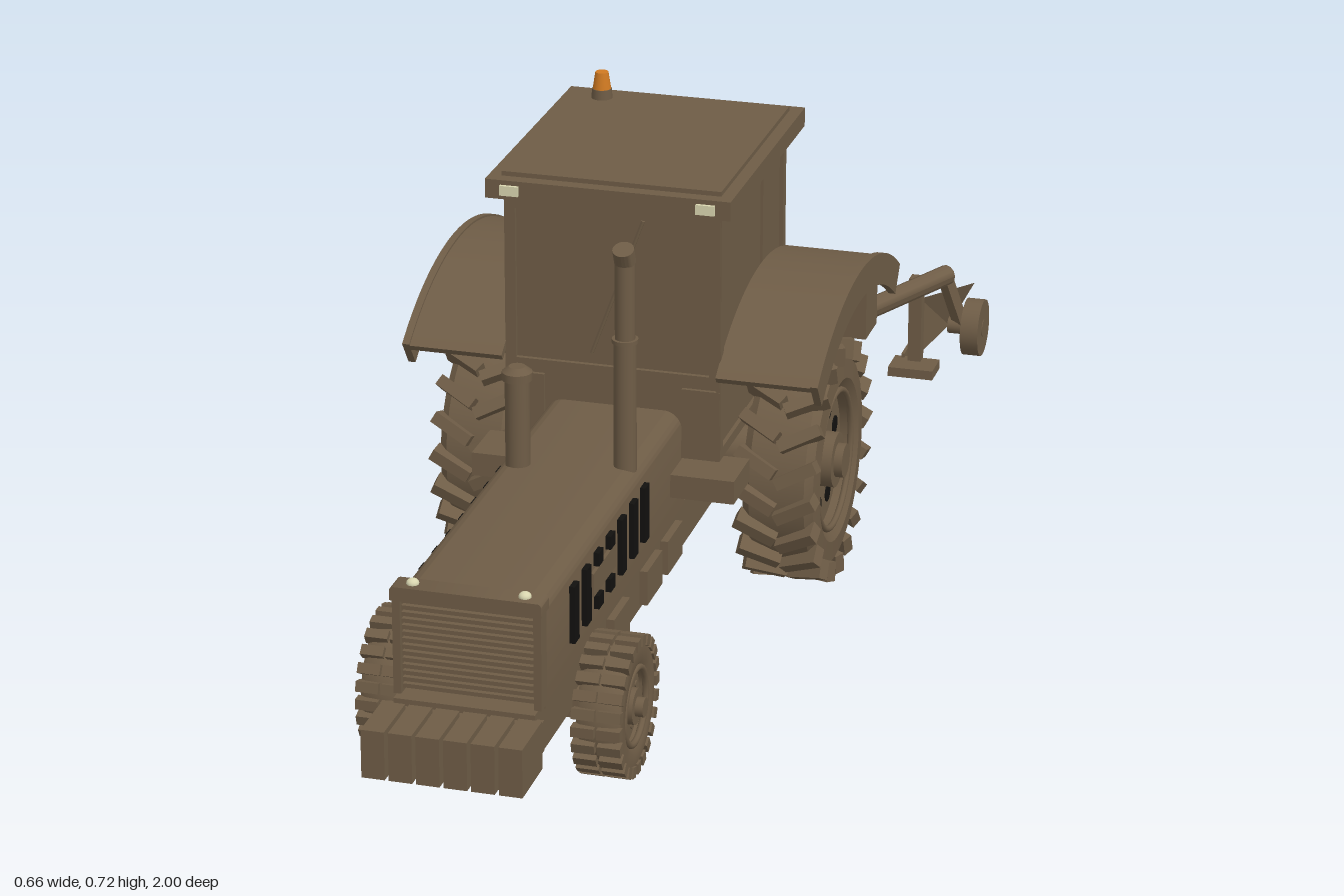
import * as THREE from 'three';
import { toCreasedNormals } from 'three/addons/utils/BufferGeometryUtils.js';

const flat = (name, color, extra = {}) => Object.assign(new THREE.MeshStandardMaterial({ color, ...extra }), { name });

export function createModel() {
  const brown = flat('brown paint', 0x6e5c46);
  const sheet = flat('brown sheet metal', 0x6e5c46, { side: THREE.DoubleSide });
  const black = flat('black', 0x12110f);
  const orange = flat('beacon orange', 0xd07a22);
  const pale = flat('lamp glass', 0xd9d6b0);

  const root = new THREE.Group();
  root.name = 'tractorWithPlough';
  const tractor = new THREE.Group();
  tractor.name = 'tractor';
  tractor.position.x = 0.01;
  const plough = new THREE.Group();
  plough.name = 'plough';
  root.add(tractor, plough);

  const V = (a) => new THREE.Vector3(...a);
  function add(parent, name, geo, mat = brown, pos = [0, 0, 0]) {
    const m = new THREE.Mesh(geo, mat);
    m.name = name;
    m.position.set(...pos);
    parent.add(m);
    return m;
  }
  // box given by its x, y and z ranges
  const box = (parent, name, [x0, x1], [y0, y1], [z0, z1], mat) =>
    add(parent, name, new THREE.BoxGeometry(Math.abs(x1 - x0), y1 - y0, Math.abs(z1 - z0)), mat,
      [(x0 + x1) / 2, (y0 + y1) / 2, (z0 + z1) / 2]);
  // round or square bar between two points
  function bar(parent, name, a, b, r, sides = 12, mat = brown) {
    const p = V(a), q = V(b);
    const m = add(parent, name, toCreasedNormals(new THREE.CylinderGeometry(r, r, p.distanceTo(q), sides), 0.9), mat);
    m.position.copy(p).lerp(q, 0.5);
    m.quaternion.setFromUnitVectors(new THREE.Vector3(0, 1, 0), q.sub(p).normalize());
    return m;
  }
  const cyl = (parent, name, r0, r1, h, pos, mat = brown) =>
    add(parent, name, new THREE.CylinderGeometry(r1, r0, h, 20), mat, pos);
  // disc or drum lying along x
  const drum = (parent, name, r, w, pos, mat = brown) =>
    add(parent, name, new THREE.CylinderGeometry(r, r, w, 32).rotateZ(Math.PI / 2), mat, pos);
  // flat rectangular frame facing +z
  function frameGeo(w, h, t, d) {
    const rect = (C, a, b) => new C([[-a, -b], [a, -b], [a, b], [-a, b]].map((p) => new THREE.Vector2(...p)));
    const s = rect(THREE.Shape, w / 2, h / 2);
    s.holes.push(rect(THREE.Path, w / 2 - t, h / 2 - t));
    return new THREE.ExtrudeGeometry(s, { depth: d, bevelEnabled: false });
  }

  // ---- bonnet, grille and chassis
  function hoodGeo(w, y0, y1, r, depth) {
    const s = new THREE.Shape();
    s.moveTo(-w, y0); s.lineTo(w, y0); s.lineTo(w, y1 - r);
    s.absarc(w - r, y1 - r, r, 0, Math.PI / 2);
    s.absarc(-w + r, y1 - r, r, Math.PI / 2, Math.PI);
    return toCreasedNormals(new THREE.ExtrudeGeometry(s, { depth, bevelEnabled: false }), 0.7);
  }
  add(tractor, 'bonnet', hoodGeo(0.104, 0.17, 0.328, 0.028, 0.7), brown, [0, 0, 0.165]);
  add(tractor, 'grilleSurround', hoodGeo(0.107, 0.315, 0.335, 0.006, 0.035), brown, [0, 0, 0.855]);
  for (const s of [-1, 1]) {
    box(tractor, 'grillePost', [s * 0.094, s * 0.105], [0.175, 0.316], [0.86, 0.885]);
    const lamp = add(tractor, 'bonnetLamp', new THREE.SphereGeometry(0.009, 14, 10), pale, [s * 0.079, 0.336, 0.872]);
    lamp.scale.y = 0.8;
    for (let i = 0; i < 7; i++) {
      const z = 0.74 - i * 0.0585, cut = i === 2 || i === 3;
      box(tractor, 'sideVent', [s * 0.1, s * 0.112], [0.215, cut ? 0.235 : 0.3], [z - 0.011, z + 0.011], black);
      if (cut) box(tractor, 'sideVent', [s * 0.1, s * 0.112], [0.28, 0.3], [z - 0.011, z + 0.011], black);
    }
    box(tractor, 'sidePlate', [s * 0.1, s * 0.109], [0.24, 0.275], [0.54, 0.65]);
    for (const z of [0.35, 0.52, 0.24]) box(tractor, 'chassisBox', [s * 0.09, s * 0.112], [0.112, 0.165], [z - 0.04, z + 0.04]);
    box(tractor, 'cabStep', [s * 0.1, s * 0.2], [0.218, 0.254], [0.15, 0.24]);
  }
  for (let i = 0; i < 14; i++) box(tractor, 'grilleSlat', [-0.094, 0.094], [0.181 + i * 0.0097, 0.187 + i * 0.0097], [0.86, 0.877]);
  box(tractor, 'chassis', [-0.1, 0.1], [0.105, 0.175], [-0.2, 0.9]);
  box(tractor, 'transmission', [-0.09, 0.09], [0.13, 0.27], [-0.22, 0.18]);
  box(tractor, 'weightCarrier', [-0.11, 0.11], [0.12, 0.165], [0.89, 0.93]);
  for (let i = 0; i < 6; i++) {
    const x = -0.0965 + i * 0.0386;
    box(tractor, 'frontWeight', [x - 0.0165, x + 0.0165], [0.102, 0.173], [0.91, 1]);
  }

  // ---- air intake and exhaust
  cyl(tractor, 'airIntake', 0.018, 0.018, 0.14, [-0.07, 0.39, 0.425]);
  cyl(tractor, 'airIntakeCap', 0.022, 0.022, 0.012, [-0.07, 0.464, 0.425]);
  cyl(tractor, 'airIntakeCrown', 0.022, 0.012, 0.008, [-0.07, 0.474, 0.425]);
  cyl(tractor, 'exhaustLower', 0.0165, 0.0165, 0.2, [0.079, 0.42, 0.39]);
  cyl(tractor, 'exhaustCollar', 0.019, 0.019, 0.006, [0.079, 0.52, 0.39]);
  cyl(tractor, 'exhaustPipe', 0.0145, 0.0145, 0.13, [0.079, 0.583, 0.39]);
  bar(tractor, 'exhaustTip', [0.079, 0.638, 0.389], [0.079, 0.66, 0.399], 0.0155, 20);

  // ---- cab
  box(tractor, 'cabBody', [-0.158, 0.158], [0.26, 0.645], [-0.188, 0.178]);
  for (const s of [-1, 1]) {
    const front = s > 0;
    const w = add(tractor, front ? 'windscreenFrame' : 'rearWindowFrame', frameGeo(0.326, front ? 0.265 : 0.38, 0.016, 0.008), brown,
      [0, front ? 0.507 : 0.45, front ? 0.177 : -0.187]);
    if (!front) w.rotation.y = Math.PI;
    const d = add(tractor, 'doorFrame', frameGeo(0.376, 0.38, 0.016, 0.007), brown, [s * 0.157, 0.45, -0.005]);
    d.rotation.y = s * Math.PI / 2;
    box(tractor, 'doorPillar', [s * 0.157, s * 0.162], [0.27, 0.635], [-0.075, -0.063]);
    box(tractor, 'lowerCabPanel', [s * 0.105, s * 0.163], [0.258, 0.367], [0.17, 0.184]);
    box(tractor, 'roofLamp', [s * 0.133, s * 0.161], [0.652, 0.667], [0.2, 0.215], pale);
    box(tractor, 'rearRoofLamp', [s * 0.133, s * 0.161], [0.652, 0.667], [-0.228, -0.22], pale);
  }
  box(tractor, 'rearSill', [-0.155, 0.155], [0.385, 0.395], [-0.194, -0.186]);
  bar(tractor, 'wiper', [0.047, 0.623, 0.185], [-0.031, 0.41, 0.185], 0.003, 6);
  bar(tractor, 'grabRail', [-0.168, 0.4, 0.15], [-0.168, 0.61, 0.15], 0.004, 8);
  box(tractor, 'roof', [-0.184, 0.184], [0.645, 0.674], [-0.225, 0.21]);
  box(tractor, 'roofPanel', [-0.165, 0.165], [0.674, 0.681], [-0.205, 0.19]);
  cyl(tractor, 'beaconBase', 0.016, 0.015, 0.016, [-0.118, 0.688, -0.167]);
  cyl(tractor, 'beacon', 0.014, 0.01, 0.026, [-0.118, 0.709, -0.167], orange);

  // ---- mudguards
  function arcGeo(r0, r1, width) {
    const a = 0.947, s = new THREE.Shape();
    s.absarc(0, 0, r1, a, Math.PI - a, false);
    s.absarc(0, 0, r0, Math.PI - a, a, true);
    const g = new THREE.ExtrudeGeometry(s, { depth: width, bevelEnabled: false, curveSegments: 20 });
    return toCreasedNormals(g.rotateY(-Math.PI / 2).translate(width / 2, 0, 0), 0.5);
  }
  for (const s of [-1, 1]) {
    add(tractor, 'mudguard', arcGeo(0.436, 0.447, 0.145), brown, [s * 0.235, 0.037, -0.053]);
    add(tractor, 'mudguardLip', arcGeo(0.402, 0.45, 0.011), brown, [s * 0.31, 0.037, -0.053]);
    box(tractor, 'rearLampBox', [s * 0.172, s * 0.28], [0.3, 0.4], [-0.318, -0.245]);
  }

  // ---- wheels
  function tyre(parent, R, ri, h) {
    const pts = [[ri, h * 0.8], [ri, -h * 0.8], [ri + (R - ri) * 0.3, -h], [R - (R - ri) * 0.2, -h * 0.96], [R - 0.003, -h * 0.75],
      [R, 0], [R - 0.003, h * 0.75], [R - (R - ri) * 0.2, h * 0.96], [ri + (R - ri) * 0.3, h], [ri, h * 0.8]];
    const g = new THREE.LatheGeometry(pts.map((p) => new THREE.Vector2(...p)), 40).rotateZ(Math.PI / 2);
    add(parent, 'tyre', toCreasedNormals(g, 0.6), brown);
  }
  function wheel(name, x, y, z, big) {
    const w = new THREE.Group();
    w.name = name;
    w.position.set(x, y, z);
    tractor.add(w);
    const s = Math.sign(x), R = big ? 0.168 : 0.093, ri = big ? 0.106 : 0.055, h = big ? 0.056 : 0.033;
    tyre(w, R, ri, h);
    drum(w, 'rim', ri + 0.002, h * 1.1, [0, 0, 0]);
    drum(w, 'hub', big ? 0.042 : 0.026, h * 1.9, [0, 0, 0]);
    drum(w, 'hubCap', big ? 0.026 : 0.014, 0.02, [s * h, 0, 0]);
    add(w, 'rimEdge', new THREE.TorusGeometry(ri, 0.005, 8, 36).rotateY(Math.PI / 2), brown, [s * h * 0.85, 0, 0]);
    // holes round the rim
    for (let i = 0; i < 8; i++) {
      const a = (i + 0.5) * Math.PI / 4, r = big ? 0.073 : 0.041;
      drum(w, 'rimHole', big ? 0.014 : 0.005, h * 1.1 + 0.004, [0, r * Math.sin(a), r * Math.cos(a)], big ? black : brown);
    }
    // tread: chevrons at the rear, split bars at the front
    const n = big ? 20 : 24;
    for (let i = 0; i < n; i++) for (const side of [-1, 1]) {
      const lugs = new THREE.Group();
      lugs.name = 'treadLug';
      lugs.rotation.x = (i + (big && side > 0 ? 0.25 : 0)) * Math.PI * 2 / n;
      w.add(lugs);
      const g = big ? new THREE.BoxGeometry(0.066, 0.03, 0.018) : new THREE.BoxGeometry(0.033, 0.016, 0.015);
      const m = add(lugs, 'lug', g, brown, [side * (big ? 0.031 : 0.0185), big ? 0.169 : 0.093, 0]);
      if (big) m.rotation.y = side * 0.5;
    }
  }
  for (const s of [-1, 1]) {
    wheel('rearWheel', s * 0.235, 0.186, -0.037, true);
    wheel('frontWheel', s * 0.155, 0.108, 0.703, false);
  }
  drum(tractor, 'rearAxle', 0.04, 0.42, [0, 0.186, -0.037]);
  box(tractor, 'frontAxle', [-0.14, 0.14], [0.09, 0.125], [0.68, 0.726]);

  // ---- three point linkage
  for (const s of [-1, 1]) {
    bar(tractor, 'lowerLink', [s * 0.06, 0.15, -0.18], [s * 0.1, 0.065, -0.33], 0.012, 4);
    bar(tractor, 'liftArm', [s * 0.07, 0.25, -0.2], [s * 0.095, 0.215, -0.3], 0.011, 4);
    bar(tractor, 'liftRod', [s * 0.095, 0.215, -0.295], [s * 0.09, 0.1, -0.28], 0.007);
    bar(tractor, 'headstockLeg', [s * 0.1, 0.06, -0.325], [s * 0.095, 0.17, -0.36], 0.012, 4);
    bar(tractor, 'headstockBrace', [s * 0.03, 0.29, -0.33], [s * 0.05, 0.16, -0.365], 0.011, 4);
  }
  bar(tractor, 'topLink', [0, 0.25, -0.19], [0, 0.235, -0.335], 0.012);
  box(tractor, 'headstockTop', [-0.035, 0.035], [0.225, 0.29], [-0.345, -0.32]);
  box(tractor, 'headstockBeam', [-0.125, 0.125], [0.135, 0.185], [-0.385, -0.335]);

  // ---- plough beam, bodies and depth wheel
  bar(plough, 'mainBeam', [0.01, 0.155, -0.37], [0.27, 0.155, -0.925], 0.017, 12);
  const triangles = (pts) => new THREE.BufferGeometry().setFromPoints(pts.map(V));
  for (let i = 0; i < 4; i++) {
    const body = new THREE.Group();
    body.name = 'ploughBody';
    body.position.set(-0.295 + i * 0.175, 0, -0.455 - i * 0.14);
    plough.add(body);
    const beamX = 0.05 + i * 0.0655, reach = beamX - body.position.x;
    box(body, 'crossArm', [-0.01, Math.max(reach, 0.02)], [0.143, 0.165], [-0.011, 0.011]);
    box(body, 'shank', [-0.011, 0.011], [0.015, 0.165], [-0.011, 0.011]);
    box(body, 'share', [-0.036, 0.04], [0.002, 0.018], [-0.008, 0.048]);
    box(body, 'landside', [-0.024, -0.019], [0.003, 0.025], [-0.108, 0]);
    const a = [0.005, 0.125, -0.005], b = [0.005, 0.025, -0.005], c = [0.035, 0.045, -0.1], d = [0.075, 0.122, -0.11];
    const board = triangles([a, b, c, a, c, d]);
    board.computeVertexNormals();
    add(body, 'mouldboard', board, sheet);
  }
  bar(plough, 'depthWheelArm', [0.265, 0.165, -0.915], [0.29, 0.06, -0.95], 0.013, 4);
  drum(plough, 'depthWheelAxle', 0.014, 0.06, [0.3, 0.056, -0.95]);
  drum(plough, 'depthWheel', 0.048, 0.03, [0.314, 0.056, -0.951]);
  return root;
}
